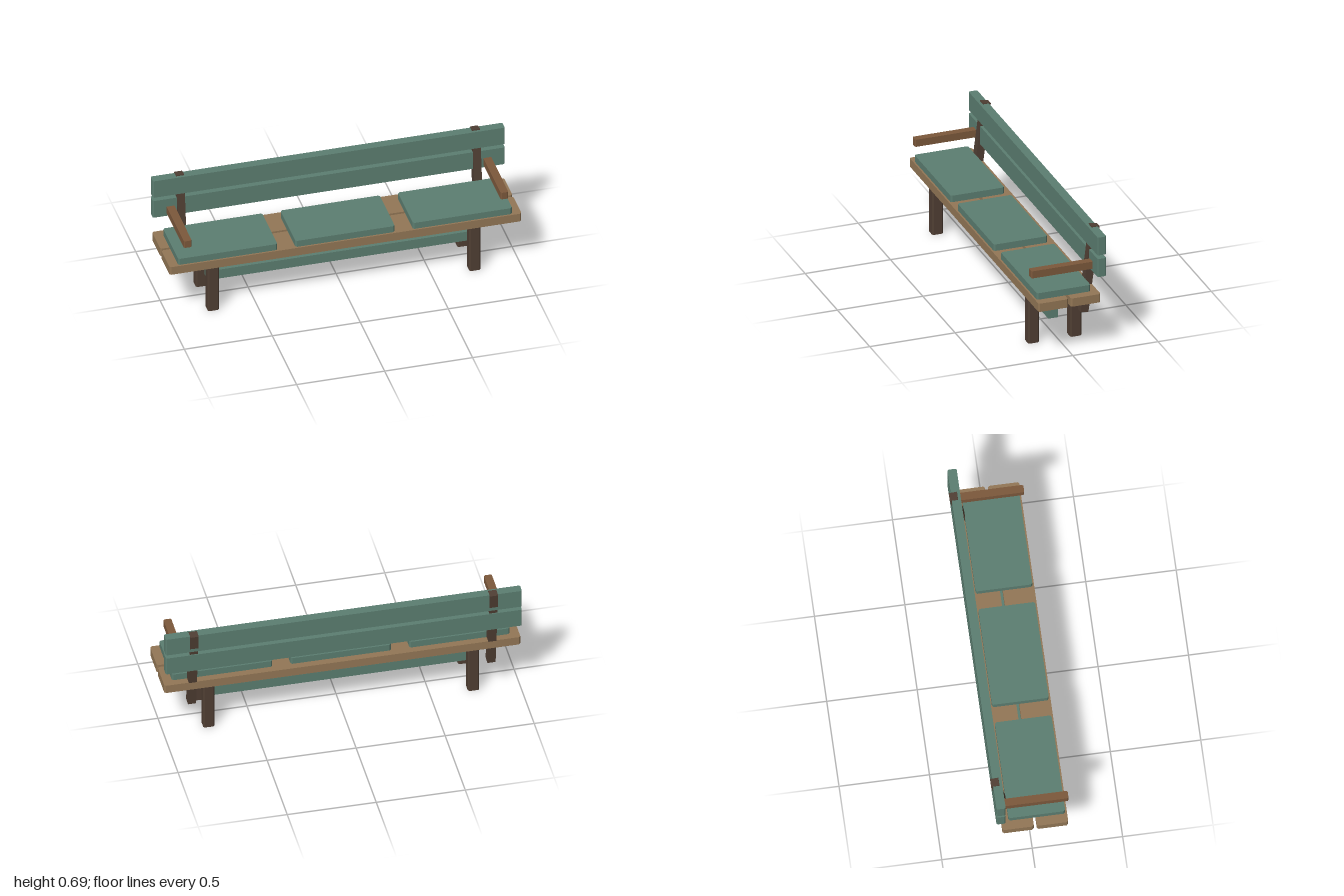
import * as THREE from 'three';

const paint = (color) => new THREE.MeshStandardMaterial({ color, flatShading: true });

export function createModel() {
  const bench = new THREE.Group();
  bench.name = 'bench';
  const green = paint(0x5b7d70);
  const oak = paint(0x927655);
  const darkWood = paint(0x4f3e33);
  const armWood = paint(0x7b583b);

  // Box given by its ranges, with the four upright edges cut off by c
  function board(name, [x0, x1], [y0, y1], [z0, z1], c, material) {
    const w = (x1 - x0) / 2, d = (z1 - z0) / 2;
    const outline = c > 0
      ? [[w - c, -d], [w, c - d], [w, d - c], [w - c, d], [c - w, d], [-w, d - c], [-w, c - d], [c - w, -d]]
      : [[w, -d], [w, d], [-w, d], [-w, -d]];
    const shape = new THREE.Shape(outline.map(([x, z]) => new THREE.Vector2(x, z)));
    const geometry = new THREE.ExtrudeGeometry(shape, { depth: y1 - y0, bevelEnabled: false });
    geometry.rotateX(-Math.PI / 2);
    const mesh = new THREE.Mesh(geometry, material);
    mesh.name = name;
    mesh.position.set((x0 + x1) / 2, y0, (z0 + z1) / 2);
    bench.add(mesh);
    return mesh;
  }

  // Seat planks
  board('frontSeatPlank', [-1, 1], [0.296, 0.346], [0.026, 0.2], 0.009, oak);
  board('backSeatPlank', [-1, 1], [0.296, 0.346], [-0.164, 0.01], 0.009, oak);

  // Three seat cushions
  for (const x of [-0.667, 0, 0.667]) {
    board('cushion', [x - 0.282, x + 0.282], [0.346, 0.385], [-0.124, 0.19], 0.009, green);
  }

  // Backrest slats
  board('lowerBackSlat', [-1, 1], [0.45, 0.559], [-0.197, -0.146], 0.006, green);
  board('upperBackSlat', [-1, 1], [0.581, 0.689], [-0.197, -0.146], 0.006, green);

  // Rail under the seat
  board('stretcher', [-0.743, 0.743], [0.117, 0.175], [-0.011, 0.046], 0, green);

  for (const [side, s] of [['left', 1], ['right', -1]]) {
    // Legs
    const legX = [s * 0.743 - 0.032, s * 0.743 + 0.032];
    board(side + 'FrontLeg', legX, [0, 0.296], [0.11, 0.174], 0.008, darkWood);
    board(side + 'BackLeg', legX, [0, 0.296], [-0.138, -0.073], 0.008, darkWood);

    // Armrest
    board(side + 'Armrest', [s * 0.9 - 0.022, s * 0.9 + 0.022], [0.467, 0.51], [-0.16, 0.212], 0.006, armWood);

    // Leaning back post
    const post = new THREE.Mesh(new THREE.BoxGeometry(0.046, 0.512, 0.046), darkWood);
    post.name = side + 'BackPost';
    post.position.set(s * 0.841, 0.438, -0.153);
    post.rotation.x = -0.127;
    bench.add(post);
  }

  return bench;
}
